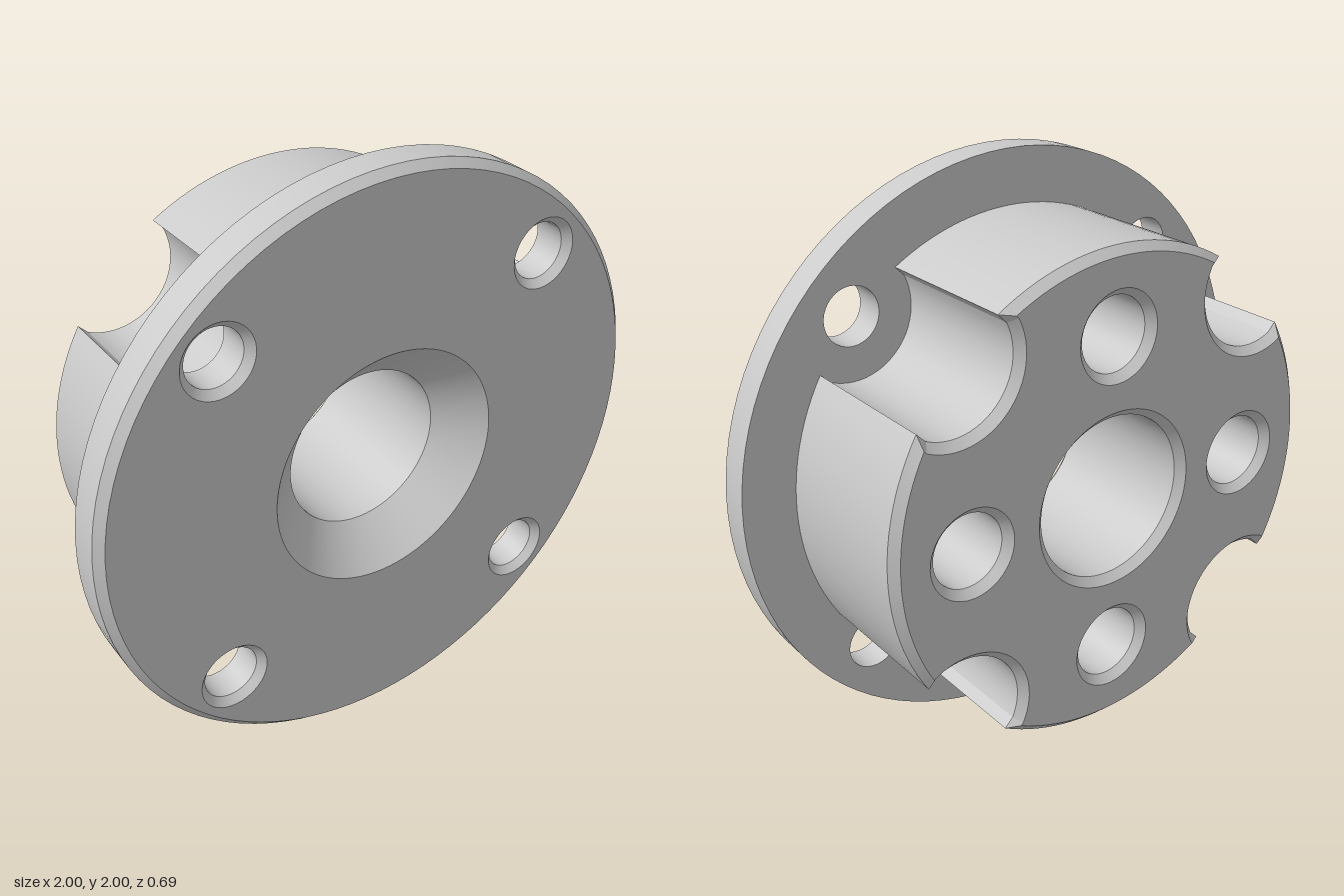
import * as THREE from 'three';
import { toCreasedNormals } from 'three/addons/utils/BufferGeometryUtils.js';

const FRONT = 0.343, BACK = -0.343, STEP = 0.208; // z of front face, back face, flange underside
const CHAMFER = 0.027;
const SCREW = 0.582;   // screw hole offset in x and y
const POCKET = 0.545;  // blind hole distance from the axis

const polar = (r, a, x = 0, y = 0) => new THREE.Vector2(x + r * Math.cos(a), y + r * Math.sin(a));

function circle(r, x = 0, y = 0, n = 96) {
  return Array.from({ length: n }, (_, i) => polar(r, (i / n) * Math.PI * 2, x, y));
}

// Hub outline inset by d: each diagonal has a scallop around its screw hole, ending in short straight lips
function hubOutline(d) {
  const R = 0.82 - d, w = 0.198 + d, r = 0.21 + d, c = SCREW * Math.SQRT2;
  const a = Math.asin(w / R), b = Math.asin(w / r), pts = [];
  for (let k = 0; k < 4; k++) {
    const quarter = [polar(R, -a)];
    for (let i = 0; i <= 24; i++) quarter.push(polar(r, Math.PI + b - (i / 24) * 2 * b, c, 0));
    for (let i = 0; i < 24; i++) quarter.push(polar(R, a + (i / 24) * (Math.PI / 2 - 2 * a)));
    const turn = Math.PI / 4 + (k * Math.PI) / 2;
    quarter.forEach((p) => pts.push(p.rotateAround(new THREE.Vector2(), turn)));
  }
  return pts;
}

// Skin between loops [points, z]; back-to-front faces outward, front-to-back faces inward
function loft(rings) {
  const pos = [];
  for (let s = 0; s < rings.length - 1; s++) {
    const [lo, z0] = rings[s], [hi, z1] = rings[s + 1];
    for (let i = 0; i < lo.length; i++) {
      const j = (i + 1) % lo.length;
      const a = [lo[i].x, lo[i].y, z0], b = [lo[j].x, lo[j].y, z0];
      const c = [hi[j].x, hi[j].y, z1], d = [hi[i].x, hi[i].y, z1];
      pos.push(...a, ...b, ...c, ...a, ...c, ...d);
    }
  }
  const g = new THREE.BufferGeometry();
  g.setAttribute('position', new THREE.Float32BufferAttribute(pos, 3));
  return toCreasedNormals(g, 0.25);
}

// Flat face with holes; the layout is symmetric, so a half turn gives a back face
function face(outer, holes, z, toBack = false) {
  const shape = new THREE.Shape(outer);
  holes.forEach((h) => shape.holes.push(new THREE.Path(h)));
  const g = new THREE.ShapeGeometry(shape);
  if (toBack) g.rotateY(Math.PI);
  return g.translate(0, 0, z);
}

export function createModel() {
  const metal = new THREE.MeshStandardMaterial({ color: 0xcacaca });
  metal.name = 'light grey metal';
  const model = new THREE.Group();
  model.name = 'flangedHub';
  const add = (name, geometry) => {
    const mesh = new THREE.Mesh(geometry, metal);
    mesh.name = name;
    model.add(mesh);
  };

  const screws = [[1, 1], [-1, 1], [-1, -1], [1, -1]].map(([x, y]) => [x * SCREW, y * SCREW]);
  const pockets = [[1, 0], [0, 1], [-1, 0], [0, -1]].map(([x, y]) => [x * POCKET, y * POCKET]);
  const holes = (centres, r) => centres.map(([x, y]) => circle(r, x, y, 40));

  // Flange
  add('flangeFront', face(circle(1 - CHAMFER), [circle(0.41), ...holes(screws, 0.12)], FRONT));
  add('flangeRim', loft([
    [circle(1), STEP], [circle(1), FRONT - CHAMFER], [circle(1 - CHAMFER), FRONT],
  ]));
  add('flangeBack', face(circle(1), [hubOutline(0), ...holes(screws, 0.095)], STEP, true));

  // Scalloped hub
  add('hubWall', loft([
    [hubOutline(CHAMFER), BACK], [hubOutline(0), BACK + CHAMFER], [hubOutline(0), STEP],
  ]));
  add('hubBack', face(hubOutline(CHAMFER), [circle(0.302), ...holes(pockets, 0.15)], BACK, true));

  // Central bore with a wide countersink in front
  add('bore', loft([
    [circle(0.41), FRONT], [circle(0.275), STEP],
    [circle(0.275), BACK + CHAMFER], [circle(0.302), BACK],
  ]));

  // Screw holes through the flange
  screws.forEach(([x, y]) => add('screwHole', loft([
    [circle(0.12, x, y, 40), FRONT], [circle(0.095, x, y, 40), FRONT - 0.025],
    [circle(0.095, x, y, 40), STEP],
  ])));

  // Blind holes in the back of the hub
  const floor = BACK + 0.4;
  pockets.forEach(([x, y]) => {
    add('blindHole', loft([
      [circle(0.123, x, y, 40), floor], [circle(0.123, x, y, 40), BACK + CHAMFER],
      [circle(0.15, x, y, 40), BACK],
    ]));
    add('blindHoleFloor', face(circle(0.123, x, y, 40), [], floor, true));
  });

  model.children.forEach((m) => m.geometry.translate(0, 1, 0));
  return model;
}
